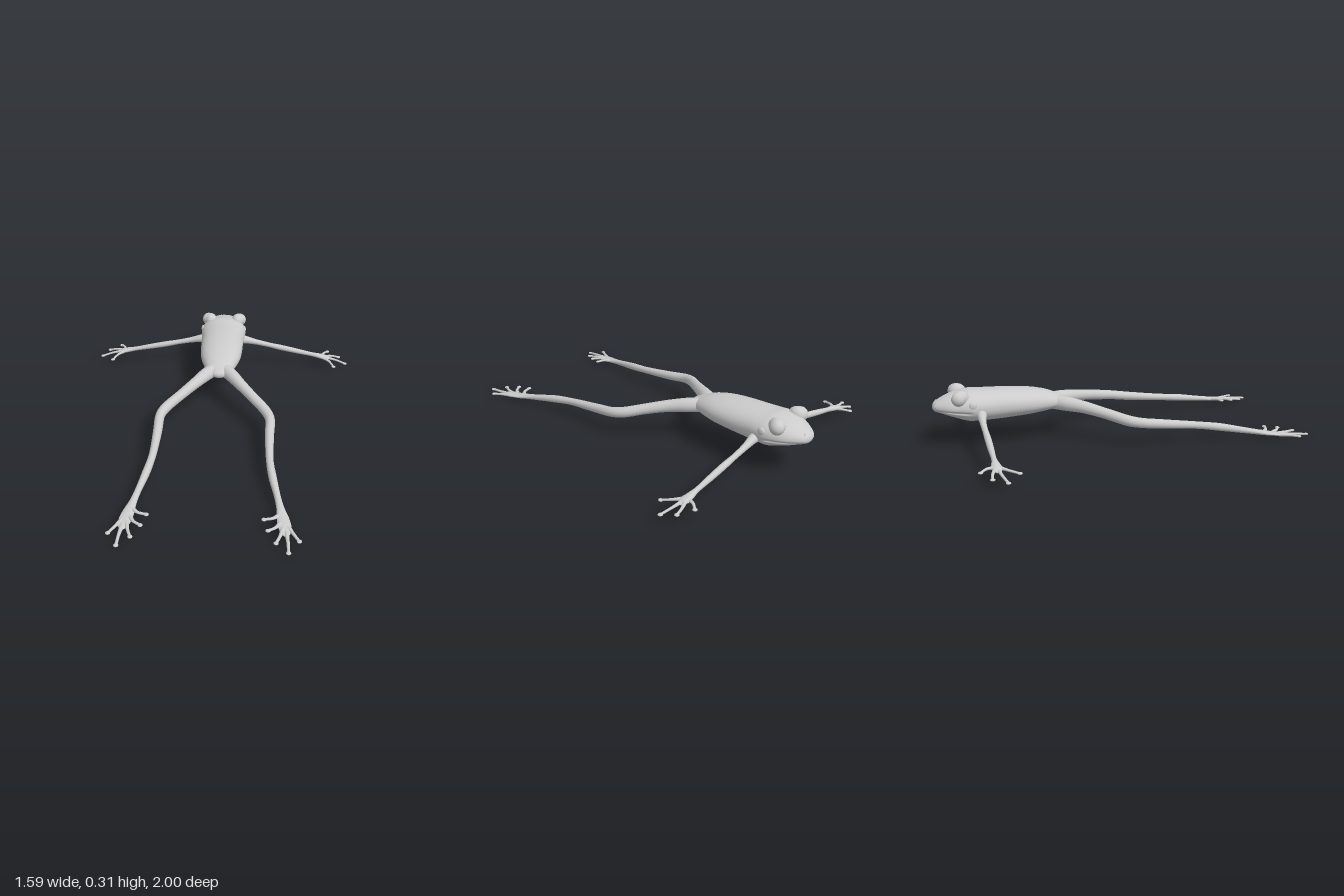
import * as THREE from 'three';
import { mergeVertices } from 'three/addons/utils/BufferGeometryUtils.js';

const material = new THREE.MeshStandardMaterial({ color: 0xcccccc, side: THREE.DoubleSide });

function addMesh(parent, geometry, name) {
  const mesh = new THREE.Mesh(geometry, material);
  mesh.name = name;
  parent.add(mesh);
  return mesh;
}

// Smooth tube through [x, y, z, radius, flatness] rows; s mirrors it in x
function limb(rows, s, segments = 40, sides = 16) {
  const path = new THREE.CatmullRomCurve3(rows.map(r => new THREE.Vector3(r[0] * s, r[1], r[2])));
  const size = new THREE.CatmullRomCurve3(
    rows.map(r => new THREE.Vector3(r[3], r[4] ?? 1, 0)), false, 'catmullrom');
  const geo = new THREE.TubeGeometry(path, segments, 1, sides);
  const pos = geo.attributes.position, v = new THREE.Vector3();
  for (let i = 0; i <= segments; i++) {
    const t = path.getUtoTmapping(i / segments);
    const centre = path.getPoint(t), k = size.getPoint(t);
    for (let j = 0; j <= sides; j++) {
      const n = i * (sides + 1) + j;
      v.fromBufferAttribute(pos, n).sub(centre).multiplyScalar(Math.max(k.x, 0.001));
      v.y *= k.y;
      v.add(centre);
      pos.setXYZ(n, v.x, v.y, v.z);
    }
  }
  return smooth(geo);
}

function smooth(geo) {
  geo.deleteAttribute('uv');
  geo.deleteAttribute('normal');
  const merged = mergeVertices(geo, 1e-5);
  merged.computeVertexNormals();
  return merged;
}

function ball(parent, name, [x, y, z], [rx, ry, rz], detail = 24) {
  const mesh = addMesh(parent, new THREE.SphereGeometry(1, detail, detail * 0.75), name);
  mesh.position.set(x, y, z);
  mesh.scale.set(rx, ry, rz);
  return mesh;
}

// Digit with a round flattened pad at its tip
function digit(parent, name, s, base, tip, bend, r) {
  const mid = base.map((b, i) => (b + tip[i]) / 2 + bend[i]);
  addMesh(parent, limb([[...base, r * 1.5, 0.8], [...mid, r, 0.85], [...tip, r * 0.9, 0.8]], s, 12, 10), name);
  ball(parent, name + 'Pad', [tip[0] * s, tip[1], tip[2]], [0.0125, 0.006, 0.0125], 14);
}

// Torso and head: lofted rings with a mouth groove
function bodyGeometry() {
  // z, half width, top, widest height, bottom
  const rows = [
    [-1.0, 0.003, 0.214, 0.211, 0.208], [-0.99, 0.042, 0.235, 0.212, 0.192],
    [-0.955, 0.078, 0.256, 0.211, 0.18], [-0.9, 0.113, 0.279, 0.209, 0.16],
    [-0.82, 0.138, 0.296, 0.212, 0.132], [-0.76, 0.137, 0.294, 0.213, 0.13],
    [-0.68, 0.13, 0.293, 0.21, 0.13], [-0.58, 0.128, 0.289, 0.21, 0.136],
    [-0.48, 0.12, 0.28, 0.208, 0.144], [-0.4, 0.1, 0.265, 0.205, 0.154],
    [-0.34, 0.078, 0.244, 0.2, 0.164], [-0.3, 0.055, 0.226, 0.197, 0.17],
    [-0.277, 0.03, 0.212, 0.196, 0.18], [-0.27, 0.002, 0.198, 0.196, 0.194]
  ];
  const outline = new THREE.CatmullRomCurve3(rows.map(r => new THREE.Vector3(r[0], r[1], 0)), false, 'catmullrom');
  const heights = new THREE.CatmullRomCurve3(rows.map(r => new THREE.Vector3(r[2], r[3], r[4])), false, 'catmullrom');
  const rings = 104, sides = 112, points = [], index = [];
  const soft = v => Math.sign(v) * Math.abs(v) ** 0.92;
  for (let i = 0; i <= rings; i++) {
    const o = outline.getPoint(i / rings), h = heights.getPoint(i / rings);
    const head = 1 - THREE.MathUtils.smoothstep(o.x, -0.84, -0.79);
    const mouth = 0.2 - 0.06 * Math.max(0, o.x + 0.93);
    for (let j = 0; j < sides; j++) {
      const a = j / sides * Math.PI * 2;
      const c = soft(Math.cos(a)), q = soft(Math.sin(a));
      const y = h.y + q * (q > 0 ? h.x - h.y : h.y - h.z);
      let k = 1 - 0.07 * head * Math.exp(-(((y - mouth) / 0.006) ** 2));
      if (y < mouth) k -= 0.03 * head;
      points.push(c * Math.max(o.y, 0.001) * k, y, o.x);
    }
  }
  for (let i = 0; i < rings; i++) {
    for (let j = 0; j < sides; j++) {
      const a = i * sides + j, b = i * sides + (j + 1) % sides;
      index.push(a, b, a + sides, b, b + sides, a + sides);
    }
  }
  const geo = new THREE.BufferGeometry();
  geo.setAttribute('position', new THREE.Float32BufferAttribute(points, 3));
  geo.setIndex(index);
  geo.computeVertexNormals();
  return geo;
}

function createSide(s, label) {
  const side = new THREE.Group();
  side.name = label + 'Side';

  // Eye, lid, nostril and ear disc
  ball(side, 'eye', [0.102 * s, 0.268, -0.868], [0.037, 0.038, 0.039]);
  const lid = ball(side, 'eyelid', [0.087 * s, 0.267, -0.858], [0.039, 0.042, 0.046]);
  lid.rotation.y = -0.3 * s;
  ball(side, 'nostril', [0.026 * s, 0.24, -0.978], [0.005, 0.004, 0.005], 10);
  ball(side, 'eardrum', [0.131 * s, 0.233, -0.8], [0.011, 0.022, 0.022], 16);

  // Front limb
  addMesh(side, limb([
    [0.07, 0.19, -0.755, 0.036], [0.135, 0.183, -0.758, 0.026], [0.2, 0.168, -0.762, 0.018],
    [0.29, 0.148, -0.763, 0.015], [0.37, 0.131, -0.762, 0.017], [0.46, 0.112, -0.762, 0.016],
    [0.57, 0.089, -0.762, 0.013], [0.62, 0.079, -0.762, 0.022, 0.6],
    [0.655, 0.072, -0.76, 0.027, 0.4], [0.685, 0.066, -0.758, 0.012, 0.4]
  ], s), 'frontLeg');
  [
    [[0.64, 0.074, -0.775], [0.675, 0.068, -0.84], [-0.008, 0.004, 0]],
    [[0.66, 0.072, -0.77], [0.745, 0.055, -0.795], [0, 0.003, -0.006]],
    [[0.66, 0.071, -0.757], [0.782, 0.046, -0.73], [0, 0.003, -0.004]],
    [[0.645, 0.073, -0.747], [0.706, 0.058, -0.664], [0.004, 0.003, -0.006]]
  ].forEach(([base, tip, bend], i) => digit(side, 'finger' + (i + 1), s, base, tip, bend, 0.0075));

  // Hind limb, widening into a flat webbed foot
  addMesh(side, limb([
    [0.025, 0.198, -0.355, 0.04], [0.075, 0.193, -0.29, 0.039], [0.13, 0.182, -0.21, 0.033],
    [0.21, 0.158, -0.105, 0.029], [0.283, 0.133, -0.01, 0.029], [0.306, 0.123, 0.05, 0.027],
    [0.306, 0.105, 0.18, 0.025], [0.31, 0.082, 0.38, 0.02], [0.326, 0.066, 0.5, 0.021],
    [0.35, 0.046, 0.62, 0.017], [0.366, 0.033, 0.7, 0.02, 0.7], [0.378, 0.024, 0.76, 0.03, 0.35],
    [0.388, 0.018, 0.82, 0.033, 0.25], [0.394, 0.014, 0.865, 0.022, 0.25], [0.397, 0.012, 0.885, 0.006, 0.4]
  ], s, 72, 20), 'hindLeg');
  [
    [[0.358, 0.028, 0.75], [0.287, 0.032, 0.788], [0.008, 0.001, 0.006]],
    [[0.365, 0.022, 0.8], [0.307, 0.026, 0.86], [0.008, 0.001, 0.004]],
    [[0.378, 0.017, 0.83], [0.346, 0.015, 0.932], [0.004, 0.001, 0]],
    [[0.396, 0.014, 0.85], [0.405, 0.006, 0.985], [0.002, 0.001, 0]],
    [[0.405, 0.017, 0.82], [0.456, 0.015, 0.913], [0, 0.001, 0.002]]
  ].forEach(([base, tip, bend], i) => digit(side, 'toe' + (i + 1), s, base, tip, bend, 0.0085));
  return side;
}

export function createModel() {
  const frog = new THREE.Group();
  frog.name = 'frog';
  addMesh(frog, bodyGeometry(), 'body');
  frog.add(createSide(1, 'left'), createSide(-1, 'right'));
  return frog;
}
